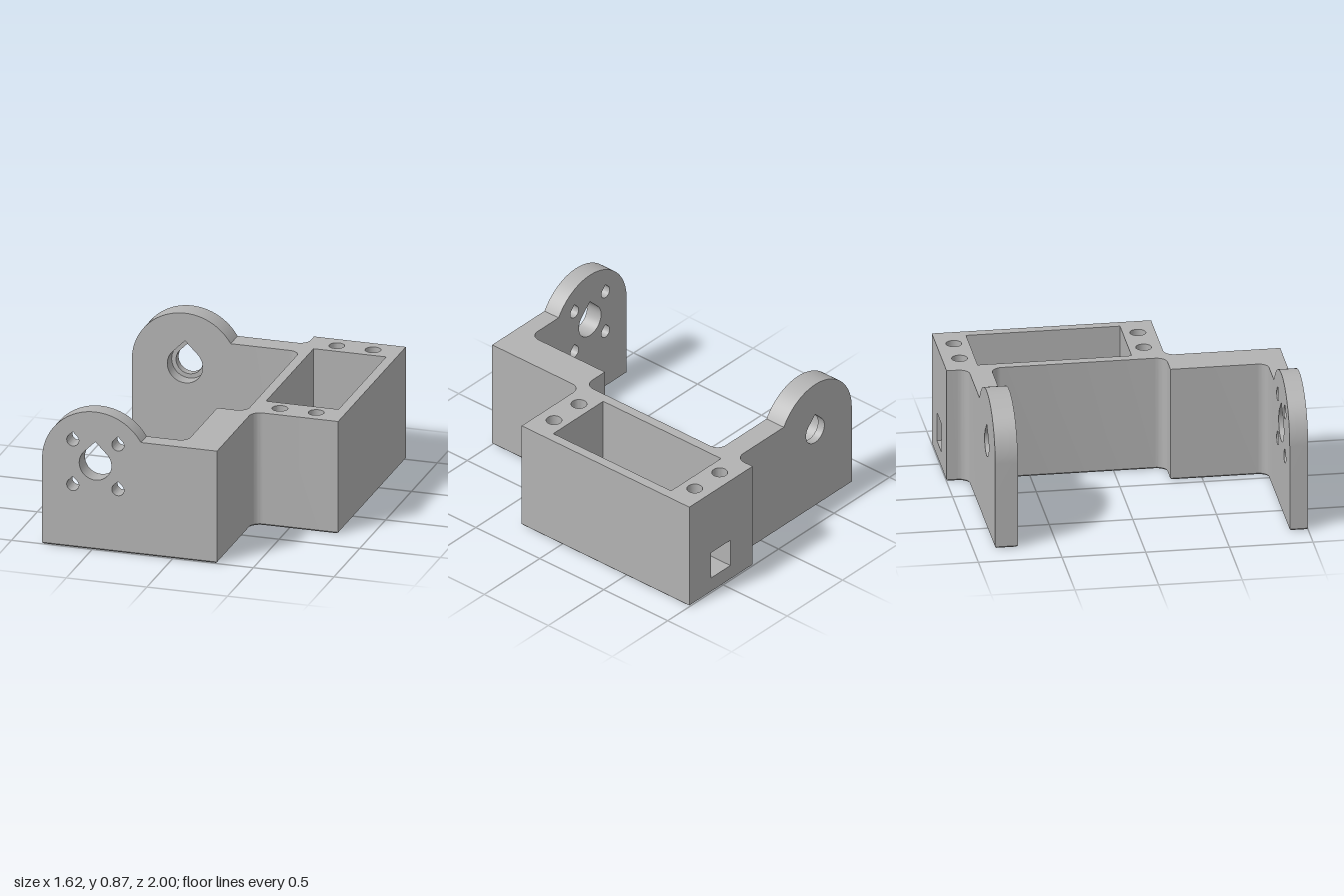
import * as THREE from 'three';
import { mergeGeometries, toCreasedNormals } from 'three/addons/utils/BufferGeometryUtils.js';

const H = 0.71, CH = 0.01;          // body height, bottom chamfer
const XC = -0.197;                  // where the arm lugs meet the straight walls
const FLOOR = 0.1;                  // pocket floor
const POCKET = { x0: 0.295, x1: 0.745, z0: -0.805, z1: 0.115 };
const AX = -0.48, AY = 0.54, AR = 0.33; // pivot axis and lug radius

// Surface between two matching rows of 3D points
function loft(a, b) {
  const pos = [];
  for (let i = 0; i < a.length - 1; i++) {
    for (const p of [a[i], b[i], b[i + 1], a[i], b[i + 1], a[i + 1]]) pos.push(...p);
  }
  const g = new THREE.BufferGeometry();
  g.setAttribute('position', new THREE.Float32BufferAttribute(pos, 3));
  return g;
}
const close = (pts) => [...pts, pts[0]];
const atY = (pts, y) => pts.map(([x, z]) => [x, y, z]);
const atZ = (pts, z) => pts.map(([x, y]) => [x, y, z]);
const wallY = (pts, y0, y1) => loft(atY(pts, y0), atY(pts, y1));
const wallZ = (pts, z0, z1) => loft(atZ(pts, z0), atZ(pts, z1));

// Flat face with holes in the xy plane, optionally turned over
function flat(outline, holes, flip) {
  const toV = (pts) => pts.map(([x, y]) => new THREE.Vector2(x, y));
  const shape = new THREE.Shape(toV(outline));
  for (const h of holes) shape.holes.push(new THREE.Path(toV(h)));
  const g = new THREE.ShapeGeometry(shape);
  if (flip) g.index.array.reverse();
  const out = g.toNonIndexed();
  out.deleteAttribute('uv');
  out.deleteAttribute('normal');
  return out;
}
const faceZ = (outline, holes, z, flip = false) => flat(outline, holes, flip).translate(0, 0, z);
function faceY(outline, holes, y, flip = false) {
  const turn = (pts) => pts.map(([x, z]) => [x, -z]);
  return flat(turn(outline), holes.map(turn), flip).rotateX(-Math.PI / 2).translate(0, y, 0);
}

// Polyline whose points [x, z, r] get a rounded right-angle corner when r is set
function rounded(pts, n = 14) {
  const out = [];
  pts.forEach(([x, z, r], i) => {
    if (!r) return out.push([x, z]);
    const p = new THREE.Vector2(x, z);
    const din = p.clone().sub(new THREE.Vector2(...pts[i - 1])).normalize();
    const dout = new THREE.Vector2(...pts[i + 1]).sub(p).normalize();
    for (let k = 0; k <= n; k++) {
      const t = (k / n) * Math.PI / 2, c = 1 - Math.cos(t), s = 1 - Math.sin(t);
      out.push([x + r * (dout.x * c - din.x * s), z + r * (dout.y * c - din.y * s)]);
    }
  });
  return out;
}

// Closed outline moved inwards by d with mitred corners
function inset(pts, d) {
  const n = pts.length;
  const normal = (a, b) => {
    const l = Math.hypot(b[0] - a[0], b[1] - a[1]);
    return [-(b[1] - a[1]) / l, (b[0] - a[0]) / l];
  };
  return pts.map((p, i) => {
    const u = normal(pts[(i + n - 1) % n], p), v = normal(p, pts[(i + 1) % n]);
    const k = d / (1 + u[0] * v[0] + u[1] * v[1]);
    return [p[0] + (u[0] + v[0]) * k, p[1] + (u[1] + v[1]) * k];
  });
}

const rect = (x0, y0, x1, y1) => [[x0, y0], [x1, y0], [x1, y1], [x0, y1]];

// Round hole in plan
function circle(cx, cz, r, n = 32) {
  return Array.from({ length: n }, (_, i) => {
    const t = (i / n) * Math.PI * 2;
    return [cx + r * Math.cos(t), cz - r * Math.sin(t)];
  });
}

// Round hole with a 45 degree pointed roof
function teardrop(cx, cy, r, n = 36) {
  const pts = [[cx, cy + r * Math.SQRT2]];
  for (let i = 0; i <= n; i++) {
    const t = Math.PI * (0.75 + 1.5 * i / n);
    pts.push([cx + r * Math.cos(t), cy + r * Math.sin(t)]);
  }
  return pts;
}

// Rounded lug profile from the bottom of the free end to the straight wall
function lugRim(n = 48) {
  const end = Math.asin((H - AY) / AR), pts = [[AX - AR, CH]];
  for (let i = 0; i <= n; i++) {
    const t = Math.PI + (end - Math.PI) * i / n;
    pts.push([AX + AR * Math.cos(t), AY + AR * Math.sin(t)]);
  }
  pts[pts.length - 1] = [XC, H];
  return pts;
}

export function createModel() {
  const group = new THREE.Group();
  const grey = new THREE.MeshStandardMaterial({ color: 0xb2b2b2, side: THREE.DoubleSide });
  grey.name = 'grey plastic';
  const add = (name, parts) => {
    const mesh = new THREE.Mesh(toCreasedNormals(mergeGeometries(parts), 0.4), grey);
    mesh.name = name;
    group.add(mesh);
  };

  // Plan outline of the whole bracket
  const XL = AX - AR;
  const plan = [
    [XL, -0.87], [XC, -0.87], [0.235, -0.87, 0.065], [0.235, -1], [0.805, -1],
    [0.805, 0.31], [0.275, 0.31, 0.065], [0.275, 1], [XC, 1], [XL, 1],
    [XL, 0.89], [XC, 0.89], [0.055, 0.89, 0.06], [0.055, 0.31],
    [0.235, 0.31, 0.065], [0.235, -0.735, 0.065], [XC, -0.735], [XL, -0.735],
  ];
  const outline = rounded(plan), base = inset(outline, CH);
  const { x0, x1, z0, z1 } = POCKET;
  const pocket = [[x0, z0], [x0, z1], [x1, z1], [x1, z0]];
  const cable = rect(0.435, 0.105, 0.61, 0.285);
  const screws = [];
  for (const x of [0.41, 0.635]) for (const z of [-0.895, 0.205]) screws.push(circle(x, z, 0.047));
  const pin = circle(0.52, -0.116, 0.06);

  // Upright walls, back face with the cable opening, and top face
  add('body', [
    wallY(rounded(plan.slice(1, 4)), CH, H),
    wallY(rounded(plan.slice(4, 9)), CH, H),
    wallY(rounded(plan.slice(11, 17)), CH, H),
    faceZ(rect(0.235, CH, 0.805, H), [cable], -1, true),
    faceY(rounded([...plan.slice(1, 9), ...plan.slice(11, 17)]), [pocket, ...screws], H),
  ]);

  // Underside with chamfered edge and blind pin hole
  add('underside', [
    loft(atY(close(base), 0), atY(close(outline), CH)),
    faceY(base, [pin], 0, true),
    wallY(close(pin), 0, 0.07),
    faceY(pin, [], 0.07, true),
  ]);

  // Rectangular pocket and the cable opening leading into it
  add('pocket', [
    wallY(pocket, FLOOR, H),
    faceZ(rect(x0, FLOOR, x1, H), [cable], z0),
    faceY(pocket, [], FLOOR),
    wallZ(close(cable), -1, z0),
  ]);

  // Blind screw holes in the top face
  add('screwHoles', screws.flatMap((s) => [wallY(close(s), H - 0.3, H), faceY(s, [], H - 0.3)]));

  // Arm lugs
  const rim = lugRim(), lug = [...rim, [XC, CH]];

  // Front arm: pivot hole and four mounting holes, all the way through
  const holes = [teardrop(AX, AY, 0.1)];
  for (const dx of [-0.14, 0.14]) for (const y of [0.395, 0.677]) holes.push(teardrop(AX + dx, y, 0.0376));
  add('frontArm', [
    wallZ(rim, 0.89, 1),
    faceZ(lug, holes, 1),
    faceZ(lug, holes, 0.89, true),
    ...holes.map((h) => wallZ(close(h), 0.89, 1)),
  ]);

  // Back arm: stepped pivot hole, wider on the inside
  const small = teardrop(AX, AY, 0.083), wide = teardrop(AX, AY, 0.11);
  add('backArm', [
    wallZ(rim, -0.87, -0.735),
    faceZ(lug, [wide], -0.735),
    faceZ(lug, [small], -0.87, true),
    wallZ(close(small), -0.87, -0.82),
    faceZ(wide, [small], -0.82),
    wallZ(close(wide), -0.82, -0.735),
  ]);

  return group;
}
